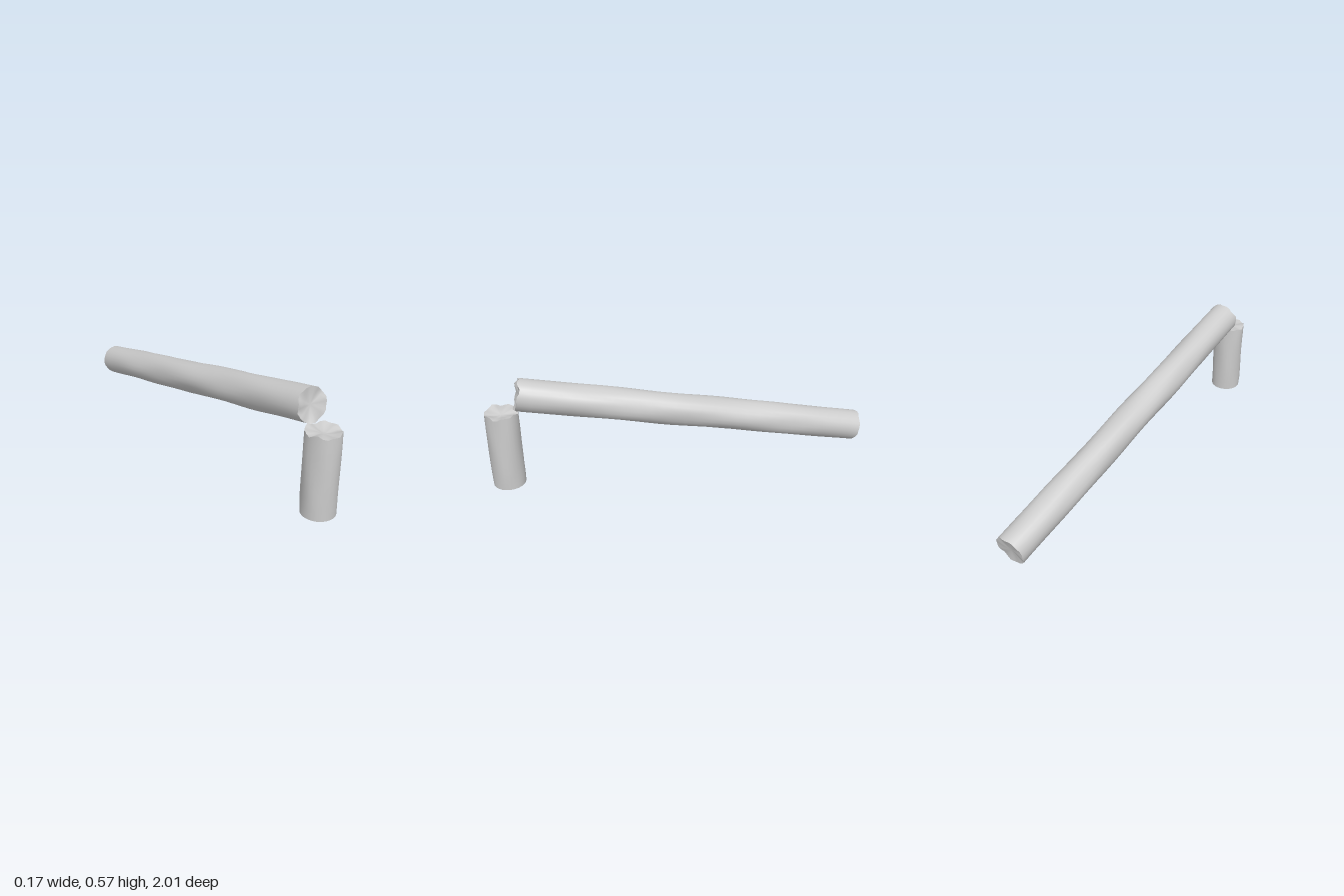
import * as THREE from 'three';
import { mergeVertices } from 'three/addons/utils/BufferGeometryUtils.js';

const SIDES = 24;
const RADIUS = 0.082;

// Splintered edge of a broken end, as an offset along the trunk
const jag = (a, seed) => 0.55 * Math.sin(7 * a + seed) + 0.45 * Math.sin(4 * a + 2.3 * seed);

// Uneven bark, fading to a clean circle at both ends
function bark(a, y, length, seed) {
  const fade = Math.min(1, 6 * Math.min(y, length - y) / length);
  const wave = Math.sin(3 * a + 8 * y + seed) + 0.8 * Math.sin(5 * a - 13 * y + 2 * seed);
  return 1 + fade * (0.015 + 0.022 * wave);
}

function smooth(geometry) {
  geometry.deleteAttribute('uv');
  geometry.deleteAttribute('normal');
  return mergeVertices(geometry, 1e-5);
}

// A trunk along +y from 0 to length; jagLow and jagHigh set how ragged each end is
function makeTrunk(name, length, rings, jagLow, jagHigh, seed) {
  const group = new THREE.Group();
  group.name = name;
  const material = new THREE.MeshStandardMaterial({ color: 0xcccccc, side: THREE.DoubleSide });
  const add = (part, geometry) => {
    geometry.computeVertexNormals();
    const mesh = new THREE.Mesh(geometry, material);
    mesh.name = part;
    group.add(mesh);
  };

  // Bark tube
  const tube = new THREE.CylinderGeometry(RADIUS, RADIUS, length, SIDES, rings, true);
  tube.translate(0, length / 2, 0);
  const side = smooth(tube);
  const p = side.attributes.position;
  for (let i = 0; i < p.count; i++) {
    const x = p.getX(i), y = p.getY(i), z = p.getZ(i);
    const a = Math.atan2(z, x);
    const k = bark(a, y, length, seed);
    let shift = 0;
    if (y < 1e-4) shift = jagLow * jag(a, seed);
    if (y > length - 1e-4) shift = jagHigh * jag(a, seed + 1);
    p.setXYZ(i, x * k, y + shift, z * k);
  }
  add('bark', side);

  // Broken end faces, dished towards the middle and meeting the ragged rim
  for (const high of [false, true]) {
    const rough = high ? jagHigh : jagLow;
    const disc = new THREE.RingGeometry(0, RADIUS, SIDES, 4);
    disc.rotateX(high ? -Math.PI / 2 : Math.PI / 2);
    const cap = smooth(disc);
    const q = cap.attributes.position;
    for (let i = 0; i < q.count; i++) {
      const x = q.getX(i), z = q.getZ(i);
      const t = Math.hypot(x, z) / RADIUS;
      const a = Math.atan2(z, x);
      const rim = rough * jag(a, high ? seed + 1 : seed) * t * t;
      const dish = rough * (1 - t * t) * (1 + 0.5 * Math.sin(50 * x + seed));
      q.setY(i, (high ? length - dish : dish) + rim);
    }
    add(high ? 'upperBreak' : 'lowerBreak', cap);
  }
  return group;
}

export function createModel() {
  const model = new THREE.Group();
  model.name = 'brokenTree';

  // Upright stump with a flat foot and a splintered top
  const stump = makeTrunk('stump', 0.408, 8, 0, 0.011, 0.6);
  stump.position.set(0, 0, 0.917);
  model.add(stump);

  // Fallen log, its upper end beside the top of the stump
  const rise = 0.412, run = 1.817;
  const log = makeTrunk('fallenLog', Math.hypot(rise, run), 28, 0.005, 0.009, 2.1);
  log.position.set(0, 0.083, -0.982);
  log.rotation.x = Math.atan2(run, rise);
  model.add(log);

  return model;
}
